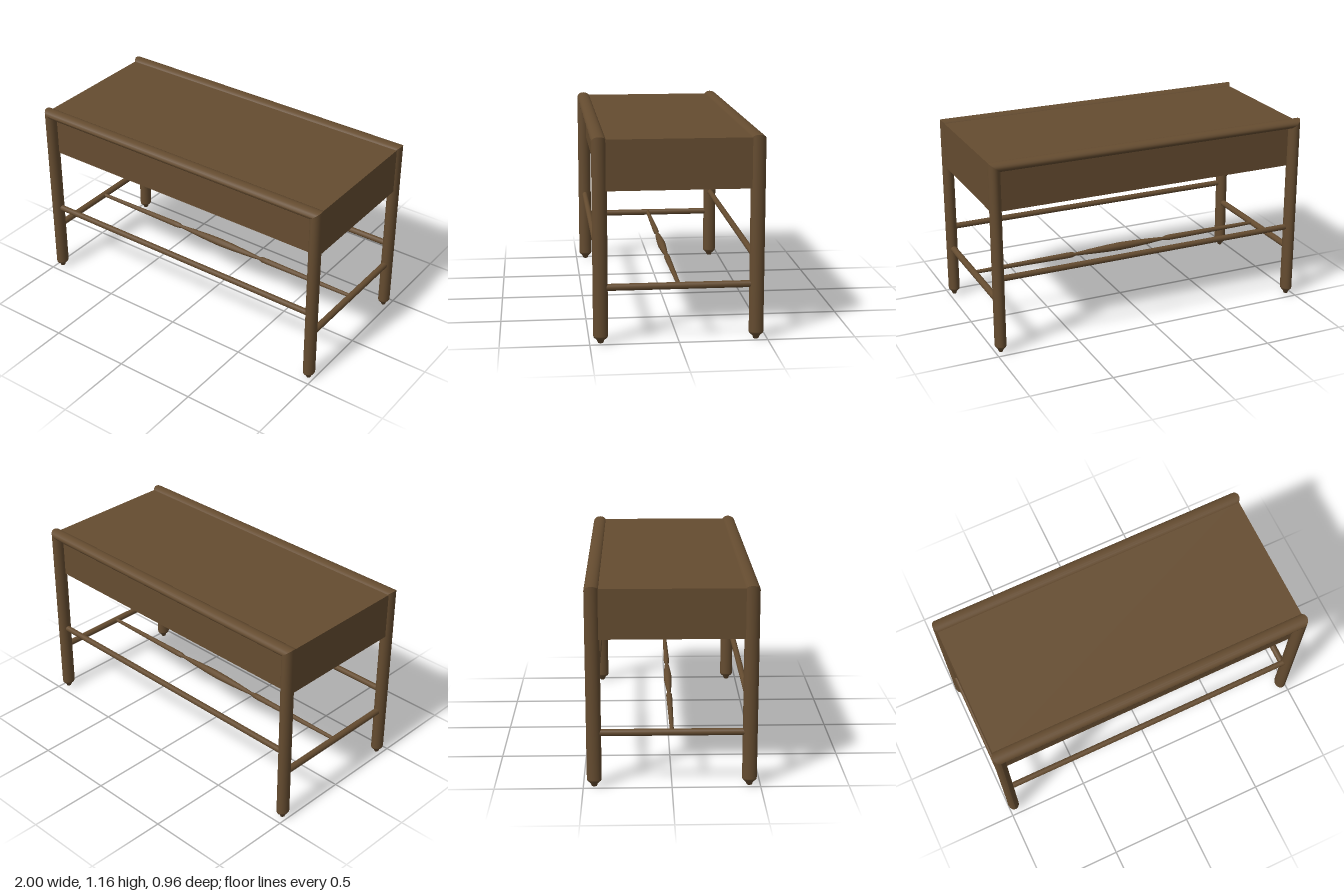
import * as THREE from 'three';

const wood = new THREE.MeshStandardMaterial({ color: 0x654c30 });
wood.name = 'brown wood';

const LEG_X = 0.966, LEG_Z = 0.438;   // leg centre lines
const RX = 0.034, RZ = 0.042;         // oval half sizes of a leg
const RAIL_Y = 1.137, RY = 0.028;     // top rail centre and half height

export function createModel() {
  const model = new THREE.Group();
  model.name = 'bench';

  const add = (name, geometry, x = 0, y = 0, z = 0) => {
    const mesh = new THREE.Mesh(geometry, wood);
    mesh.name = name;
    mesh.position.set(x, y, z);
    model.add(mesh);
    return mesh;
  };

  // turned bar from [radius, position] pairs, along y
  const turned = (pairs, sides = 16) =>
    new THREE.LatheGeometry(pairs.map(([r, p]) => new THREE.Vector2(r, p)), sides);

  // leg: oval post, tapered foot, top cut on a mitre that rises outwards
  const legGeometry = (side) => {
    const g = turned([[0, 0], [0.35, 0.002], [0.5, 0.018], [0.95, 0.036], [1, 0.045], [1, RAIL_Y]], 20);
    const p = g.attributes.position;
    for (let i = 0; i < p.count; i++) {
      const x = p.getX(i), y = p.getY(i);
      p.setXYZ(i, x * RX, y > 1 ? RAIL_Y + side * x * RY : y, p.getZ(i) * RZ);
    }
    g.computeVertexNormals();
    return g;
  };

  // top rail: oval bar whose mitred ends meet the legs
  const railGeometry = () => {
    const g = new THREE.CylinderGeometry(1, 1, 2, 20, 1, true);
    g.rotateZ(Math.PI / 2);
    const p = g.attributes.position;
    for (let i = 0; i < p.count; i++) {
      const end = Math.sign(p.getX(i)), y = p.getY(i);
      p.setXYZ(i, end * (LEG_X + y * RX), y * RY, p.getZ(i) * RZ);
    }
    g.computeVertexNormals();
    return g;
  };

  for (const s of [-1, 1]) {
    for (const t of [-1, 1]) add('leg', legGeometry(s), s * LEG_X, 0, t * LEG_Z);

    add('topRail', railGeometry(), 0, RAIL_Y, s * LEG_Z);

    // aprons hanging below the seat
    add('longApron', new THREE.BoxGeometry(1.94, 0.283, 0.012), 0, 1.0065, s * 0.42);
    add('endApron', new THREE.BoxGeometry(0.012, 0.283, 0.84), s * 0.979, 1.0065, 0);

    // round stretchers between the legs
    add('longStretcher', new THREE.CylinderGeometry(0.018, 0.018, 1.92, 14), 0, 0.46, s * LEG_Z)
      .rotation.z = Math.PI / 2;
    add('endStretcher', new THREE.CylinderGeometry(0.02, 0.02, 0.87, 14), s * LEG_X, 0.32, 0)
      .rotation.x = Math.PI / 2;
  }

  // flat seat, open underneath
  add('seat', new THREE.BoxGeometry(1.97, 0.012, 0.85), 0, 1.143, 0);

  // turned middle stretcher with a swelling in the centre
  const half = [[0.011, 0.965], [0.018, 0.36], [0.017, 0.33], [0.01, 0.305], [0.017, 0.2], [0.023, 0.08]];
  const profile = [
    ...half.map(([r, p]) => [r, -p]),
    [0.025, 0],
    ...half.slice().reverse(),
  ];
  add('middleStretcher', turned(profile, 12), 0, 0.325, 0).rotation.z = Math.PI / 2;

  return model;
}
